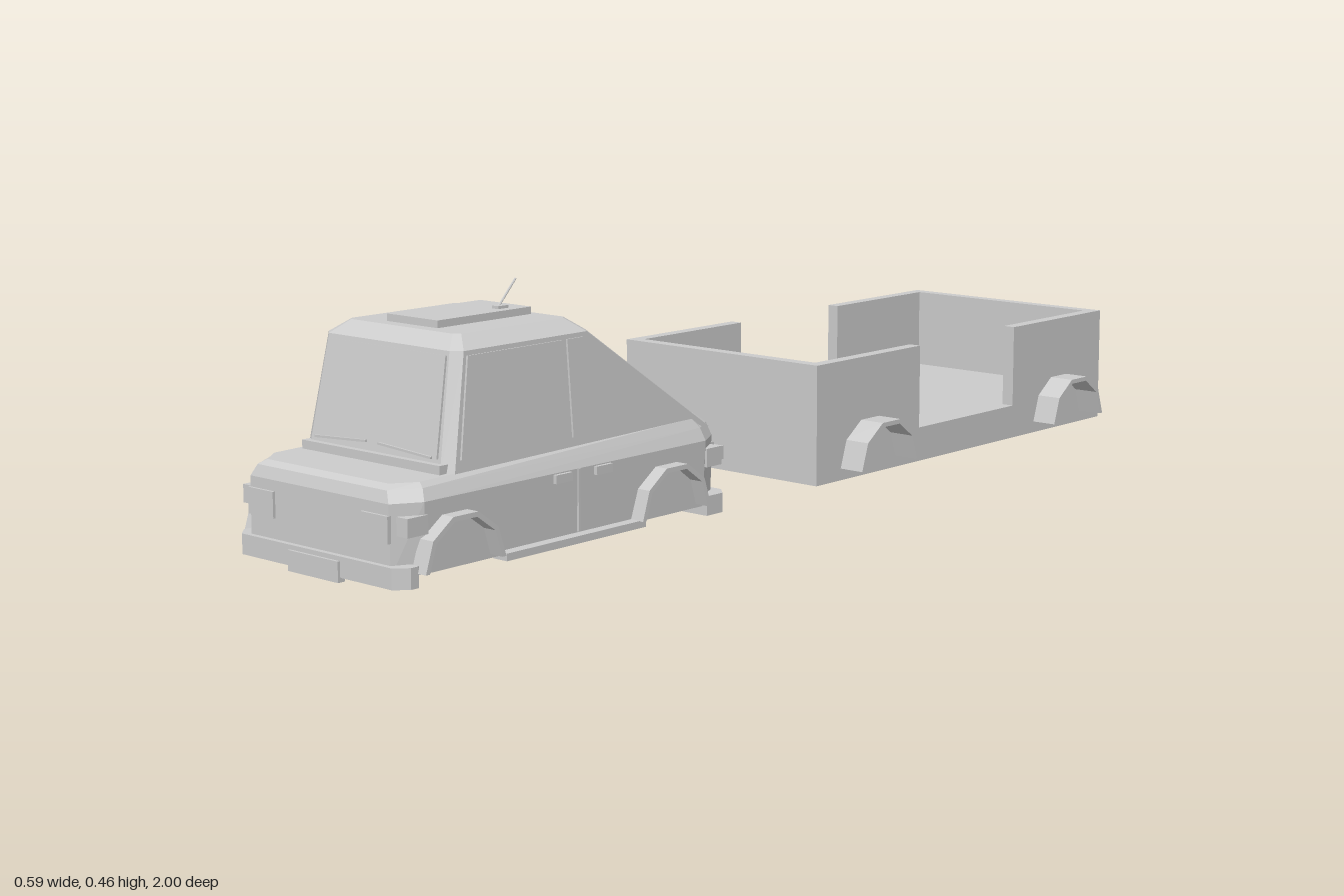
import * as THREE from 'three';

const mat = new THREE.MeshStandardMaterial({ color: 0xcccccc, flatShading: true, side: THREE.DoubleSide });
const V = (x, y, z) => new THREE.Vector3(x, y, z);

function add(parent, name, geo, x = 0, y = 0, z = 0) {
  const mesh = new THREE.Mesh(geo, mat);
  mesh.name = name;
  mesh.position.set(x, y, z);
  parent.add(mesh);
  return mesh;
}

// Box given by its extents
function box(parent, name, x0, x1, y0, y1, z0, z1) {
  return add(parent, name, new THREE.BoxGeometry(x1 - x0, y1 - y0, z1 - z0),
    (x0 + x1) / 2, (y0 + y1) / 2, (z0 + z1) / 2);
}

// Closed solid through rings of equal point count
function loft(rings) {
  const pos = [], n = rings[0].length;
  const tri = (...p) => p.forEach(v => pos.push(v.x, v.y, v.z));
  for (let r = 0; r < rings.length - 1; r++) {
    const a = rings[r], b = rings[r + 1];
    for (let i = 0; i < n; i++) {
      const j = (i + 1) % n;
      tri(a[i], a[j], b[j]);
      tri(a[i], b[j], b[i]);
    }
  }
  const first = rings[0], last = rings[rings.length - 1];
  for (let i = 1; i < n - 1; i++) {
    tri(first[0], first[i + 1], first[i]);
    tri(last[0], last[i], last[i + 1]);
  }
  const g = new THREE.BufferGeometry();
  g.setAttribute('position', new THREE.Float32BufferAttribute(pos, 3));
  g.computeVertexNormals();
  return g;
}

// Horizontal rectangle with cut corners; the front edge may sit at another height
function ring(y, hw, z0, z1, cx, cz, yFront = y) {
  const at = (x, z) => V(x, y + (yFront - y) * (z - z0) / (z1 - z0), z);
  return [at(hw - cx, z1), at(hw, z1 - cz), at(hw, z0 + cz), at(hw - cx, z0),
    at(cx - hw, z0), at(-hw, z0 + cz), at(-hw, z1 - cz), at(cx - hw, z1)];
}

// Thin raised panel from corners listed counter-clockwise as seen from outside
function panel(parent, name, pts, lift = 0.004) {
  const n = V(0, 0, 0).crossVectors(pts[1].clone().sub(pts[0]), pts[2].clone().sub(pts[0])).normalize();
  const shift = d => pts.map(p => p.clone().addScaledVector(n, d));
  add(parent, name, loft([shift(-0.003), shift(lift)]));
}

// Five-sided wheel arch running sideways from x0 to x1
function wheelArch(parent, x0, x1, y, z, r) {
  const s = new THREE.Shape(), t = r - 0.009;
  for (let i = 0; i <= 5; i++) {
    const a = i * Math.PI / 5;
    s[i ? 'lineTo' : 'moveTo'](r * Math.cos(a), r * Math.sin(a));
  }
  for (let i = 5; i >= 0; i--) s.lineTo(t * Math.cos(i * Math.PI / 5), t * Math.sin(i * Math.PI / 5));
  const g = new THREE.ExtrudeGeometry(s, { depth: x1 - x0, bevelEnabled: false });
  g.rotateY(Math.PI / 2);
  add(parent, 'wheelArch', g, x0, y, z);
}

function buildTrailer() {
  const g = new THREE.Group();
  g.name = 'trailer';
  const w = 0.243, t = 0.025, top = 0.25, floor = 0.087;
  box(g, 'trailerFloor', -w, w, 0.02, floor, -0.99, -0.03);
  box(g, 'frontBoard', -w, w, floor, top, -0.03 - t, -0.03);
  box(g, 'backBoard', -w, w, floor, top, -0.99, -0.99 + t);
  box(g, 'trailerPlate', -0.1, 0.1, 0.022, 0.045, -0.994, -0.985);
  for (const s of [-1, 1]) {
    const x0 = s < 0 ? -w : w - t;
    box(g, 'frontSideBoard', x0, x0 + t, floor, top, -0.35, -0.03 - t);
    box(g, 'rearSideBoard', x0, x0 + t, floor, top, -0.99 + t, -0.67);
    for (const z of [-0.193, -0.837]) {
      wheelArch(g, s < 0 ? -0.295 : 0.238, s < 0 ? -0.238 : 0.295, 0.043, z, 0.09);
    }
    for (const y of [0.105, 0.16]) {
      box(g, 'trailerLight', s * 0.143 - 0.03, s * 0.143 + 0.03, y - 0.022, y + 0.022, -1, -0.985);
    }
  }
  box(g, 'towBar', -0.012, 0.012, 0.042, 0.068, -0.04, 0.22);
  return g;
}

function buildCar() {
  const g = new THREE.Group();
  g.name = 'car';
  g.position.x = 0.009;

  // Lower body with bevelled shoulders and bonnet edge
  add(g, 'body', loft([
    ring(0.025, 0.2, 0.205, 0.985, 0.025, 0.05),
    ring(0.145, 0.203, 0.2, 0.985, 0.03, 0.05),
    ring(0.168, 0.192, 0.203, 0.978, 0.03, 0.05, 0.165),
    ring(0.186, 0.182, 0.225, 0.965, 0.03, 0.04, 0.173),
  ]));
  // Cabin with a sloping back and bevelled roof
  add(g, 'cabin', loft([
    ring(0.165, 0.184, 0.205, 0.865, 0.02, 0.015),
    ring(0.372, 0.168, 0.505, 0.825, 0.018, 0.015),
    ring(0.395, 0.136, 0.535, 0.795, 0.01, 0.01),
  ]));
  box(g, 'cowl', -0.172, 0.172, 0.165, 0.19, 0.84, 0.872);

  // Points lying on the cabin faces
  const k = y => (y - 0.165) / 0.207;
  const front = (x, y) => V(x, y, 0.865 - 0.04 * k(y));
  const back = (x, y) => V(x, y, 0.205 + 0.3 * k(y));
  const lo = 0.197, hi = 0.364;
  panel(g, 'windscreen', [front(-0.155, lo), front(0.155, lo), front(0.146, hi), front(-0.146, hi)]);
  panel(g, 'rearWindow', [back(0.15, 0.2), back(-0.15, 0.2), back(-0.14, 0.36), back(0.14, 0.36)]);

  for (const s of [-1, 1]) {
    const side = (z, y) => V(s * (0.184 - 0.016 * k(y)), y, z);
    const sidePanel = (name, pts, lift) => panel(g, name, s > 0 ? pts : pts.reverse(), lift);
    sidePanel('frontSideWindow', [side(0.835, 0.195), side(0.585, 0.195), side(0.585, hi), side(0.805, hi)]);
    sidePanel('rearSideWindow', [side(0.572, 0.195), side(0.315, 0.195), side(0.53, hi), side(0.572, hi)]);

    const span = (a, b) => s > 0 ? [a, b] : [-b, -a];
    for (const z of [0.355, 0.868]) wheelArch(g, ...span(0.195, 0.229), 0.032, z, 0.09);
    box(g, 'sill', ...span(0.19, 0.222), 0.02, 0.033, 0.43, 0.77);
    for (const z of [0.62, 0.52]) box(g, 'doorHandle', ...span(0.195, 0.21), 0.128, 0.143, z - 0.02, z + 0.02);
    box(g, 'doorSeam', ...span(0.195, 0.205), 0.035, 0.145, 0.576, 0.581);

    // Lights at both ends, wrapping the corners
    box(g, 'headlight', ...span(0.11, 0.175), 0.08, 0.126, 0.975, 0.99);
    box(g, 'tailLight', ...span(0.11, 0.175), 0.09, 0.132, 0.195, 0.21);
    box(g, 'frontCornerLight', ...span(0.176, 0.206), 0.092, 0.124, 0.93, 0.975);
    box(g, 'rearCornerLight', ...span(0.176, 0.206), 0.096, 0.13, 0.21, 0.25);

    const wiper = box(g, 'wiper', -0.065, 0.065, -0.002, 0.002, -0.002, 0.002);
    wiper.position.set(s * 0.08, 0.203, 0.865);
    wiper.rotation.z = -s * 0.06;
  }

  // Bumpers with cut corners
  const bumper = (name, z0, z1, c0, c1) => {
    const outline = y => [V(0.21 - c1, y, z1), V(0.21, y, z1 - c1), V(0.21, y, z0 + c0),
      V(0.21 - c0, y, z0), V(c0 - 0.21, y, z0), V(-0.21, y, z0 + c0), V(-0.21, y, z1 - c1), V(c1 - 0.21, y, z1)];
    add(g, name, loft([outline(0.008), outline(0.044)]));
  };
  bumper('frontBumper', 0.955, 0.995, 0.001, 0.022);
  bumper('rearBumper', 0.19, 0.255, 0.022, 0.001);
  box(g, 'frontPlate', -0.063, 0.063, 0, 0.036, 0.985, 1);
  box(g, 'rearPlate', -0.063, 0.063, 0.008, 0.044, 0.186, 0.2);

  // Roof hatch and aerial
  box(g, 'roofHatch', -0.063, 0.063, 0.39, 0.408, 0.55, 0.77);
  box(g, 'aerialBase', 0.028, 0.044, 0.405, 0.413, 0.585, 0.61);
  const path = new THREE.LineCurve3(V(0.036, 0.41, 0.603), V(0.036, 0.456, 0.56));
  add(g, 'aerial', new THREE.TubeGeometry(path, 1, 0.002, 6));
  return g;
}

export function createModel() {
  const model = new THREE.Group();
  model.name = 'carWithTrailer';
  model.add(buildCar(), buildTrailer());
  return model;
}
